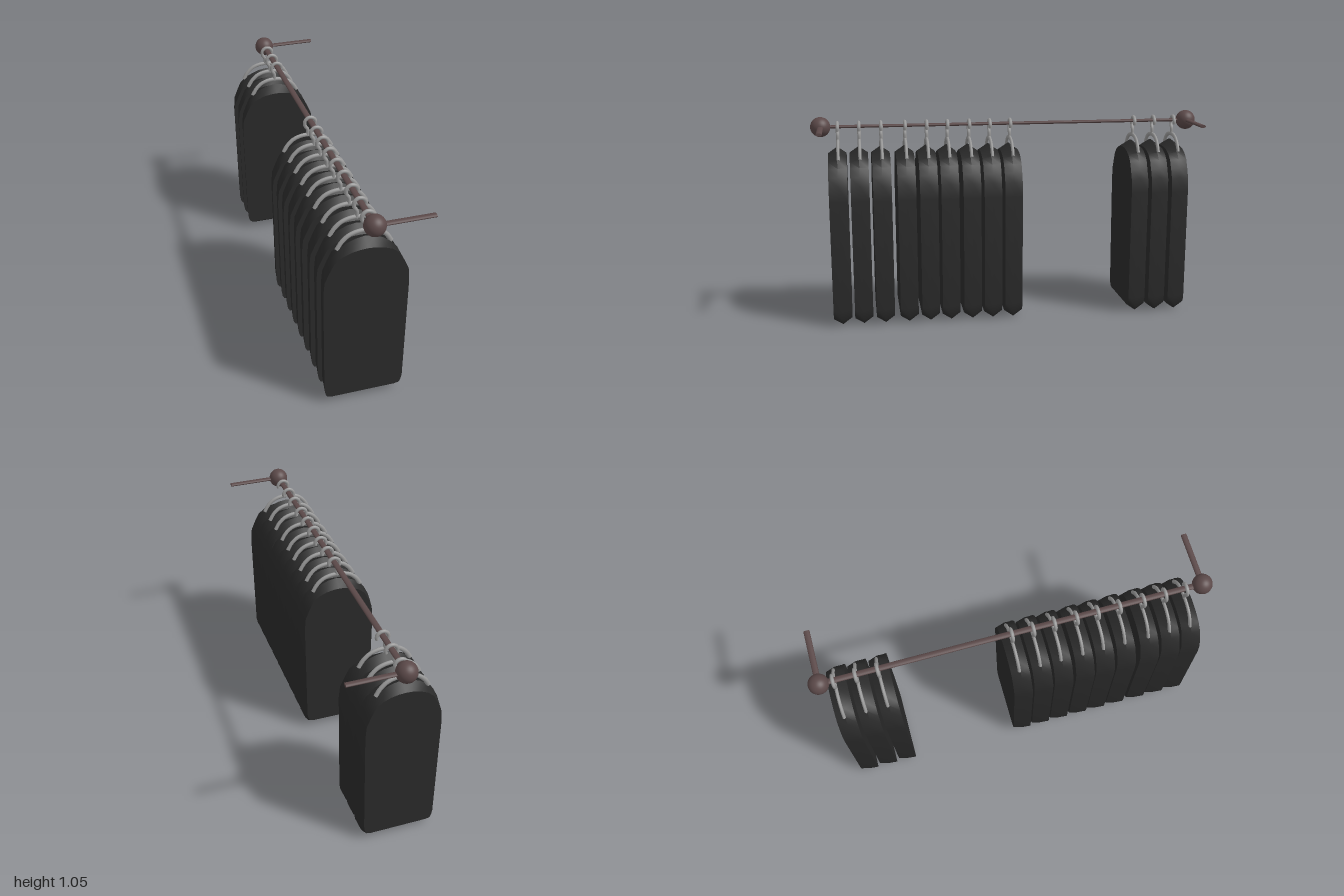
import * as THREE from 'three';
import { toCreasedNormals } from 'three/addons/utils/BufferGeometryUtils.js';

const RAIL_X = -0.032;
const GARMENT_X = -0.047;
const HALF_DEPTH = 0.046;

const brown = new THREE.MeshStandardMaterial({ color: 0x5a4848 });
const black = new THREE.MeshStandardMaterial({ color: 0x2a2a2a });
const steel = new THREE.MeshStandardMaterial({ color: 0x999999 });

// Right half outlines, bottom to top: outer faces and the fuller middle
const FACE = [[0.155, 0.038], [0.178, 0.043], [0.187, 0.06], [0.192, 0.09], [0.2, 0.65], [0.194, 0.715],
  [0.172, 0.765], [0.15, 0.808], [0.115, 0.836], [0.075, 0.852], [0.035, 0.86], [0, 0.862]];
const MIDDLE = [[0.142, 0.003], [0.16, 0.008], [0.174, 0.028], [0.182, 0.075], [0.191, 0.65], [0.185, 0.725],
  [0.172, 0.768], [0.152, 0.81], [0.122, 0.845], [0.085, 0.873], [0.042, 0.89], [0, 0.897]];

function ring(half, scaleX, z) {
  const right = half.map(([x, y]) => [x * scaleX, y, z]);
  const left = right.slice(0, -1).reverse().map(([x, y]) => [-x, y, z]);
  return [...right, ...left];
}

// Slab lofted through three outlines and closed with fans
function garmentGeometry() {
  const rings = [ring(FACE, 1, HALF_DEPTH), ring(MIDDLE, 1, 0), ring(FACE, 0.915, -HALF_DEPTH)];
  const n = rings[0].length;
  const positions = rings.flat(2);
  const index = [];
  for (let r = 0; r < 2; r++) {
    for (let i = 0; i < n; i++) {
      const j = (i + 1) % n;
      const a = r * n + i, b = r * n + j, c = a + n, d = b + n;
      index.push(a, c, b, b, c, d);
    }
  }
  positions.push(0, 0.45, HALF_DEPTH, 0, 0.45, -HALF_DEPTH);
  for (let i = 0; i < n; i++) {
    const j = (i + 1) % n;
    index.push(3 * n, i, j, 3 * n + 1, 2 * n + j, 2 * n + i);
  }
  const geo = new THREE.BufferGeometry();
  geo.setAttribute('position', new THREE.Float32BufferAttribute(positions, 3));
  geo.setIndex(index);
  return toCreasedNormals(geo, 0.6);
}

function tube(points, radius, segments) {
  const curve = new THREE.CatmullRomCurve3(points.map(([x, y]) => new THREE.Vector3(x, y, 0)));
  return new THREE.TubeGeometry(curve, segments, radius, 8);
}

function addMesh(parent, name, geometry, material) {
  const mesh = new THREE.Mesh(geometry, material);
  mesh.name = name;
  parent.add(mesh);
  return mesh;
}

export function createModel() {
  const model = new THREE.Group();
  model.name = 'clothesRail';

  // Rail: a flattened rod along z
  const rail = addMesh(model, 'rail', new THREE.CylinderGeometry(0.015, 0.015, 1.9, 16).rotateX(Math.PI / 2).scale(1, 0.53, 1), brown);
  rail.position.set(RAIL_X, 1, 0);

  // End knobs with wall arms
  const knobGeo = new THREE.SphereGeometry(0.05, 32, 20);
  const armGeo = new THREE.CylinderGeometry(0.015, 0.015, 0.277, 16).rotateZ(Math.PI / 2).scale(1, 0.53, 1);
  for (const side of [1, -1]) {
    addMesh(model, 'endKnob', knobGeo, brown).position.set(RAIL_X, 1, side * 0.95);
    addMesh(model, 'wallArm', armGeo, brown).position.set(RAIL_X + 0.1385, 1, side * 0.95);
  }

  // Shared garment and hanger shapes, relative to the garment's centre line
  const garmentGeo = garmentGeometry();
  const shouldersGeo = tube([[-0.125, 0.845], [-0.105, 0.879], [-0.075, 0.907], [-0.04, 0.921], [0, 0.925],
    [0.04, 0.921], [0.075, 0.907], [0.105, 0.879], [0.125, 0.845]], 0.011, 28).scale(1, 1, 0.75);
  const hookGeo = tube([[0, 0.92], [0, 0.955], [-0.013, 0.978], [-0.012, 1.003], [0.008, 1.019],
    [0.03, 1.014], [0.042, 0.996], [0.04, 0.98]], 0.009, 32);

  const places = [0.871, 0.764, 0.654, 0.533, 0.423, 0.317, 0.206, 0.1, -0.006, -0.663, -0.77, -0.877];
  for (const z of places) {
    const item = new THREE.Group();
    item.name = 'hangingGarment';
    item.position.set(GARMENT_X, 0, z);
    addMesh(item, 'garment', garmentGeo, black);
    addMesh(item, 'hangerShoulders', shouldersGeo, steel).position.z = -0.005;
    addMesh(item, 'hangerHook', hookGeo, steel).position.z = -0.005;
    model.add(item);
  }
  return model;
}
